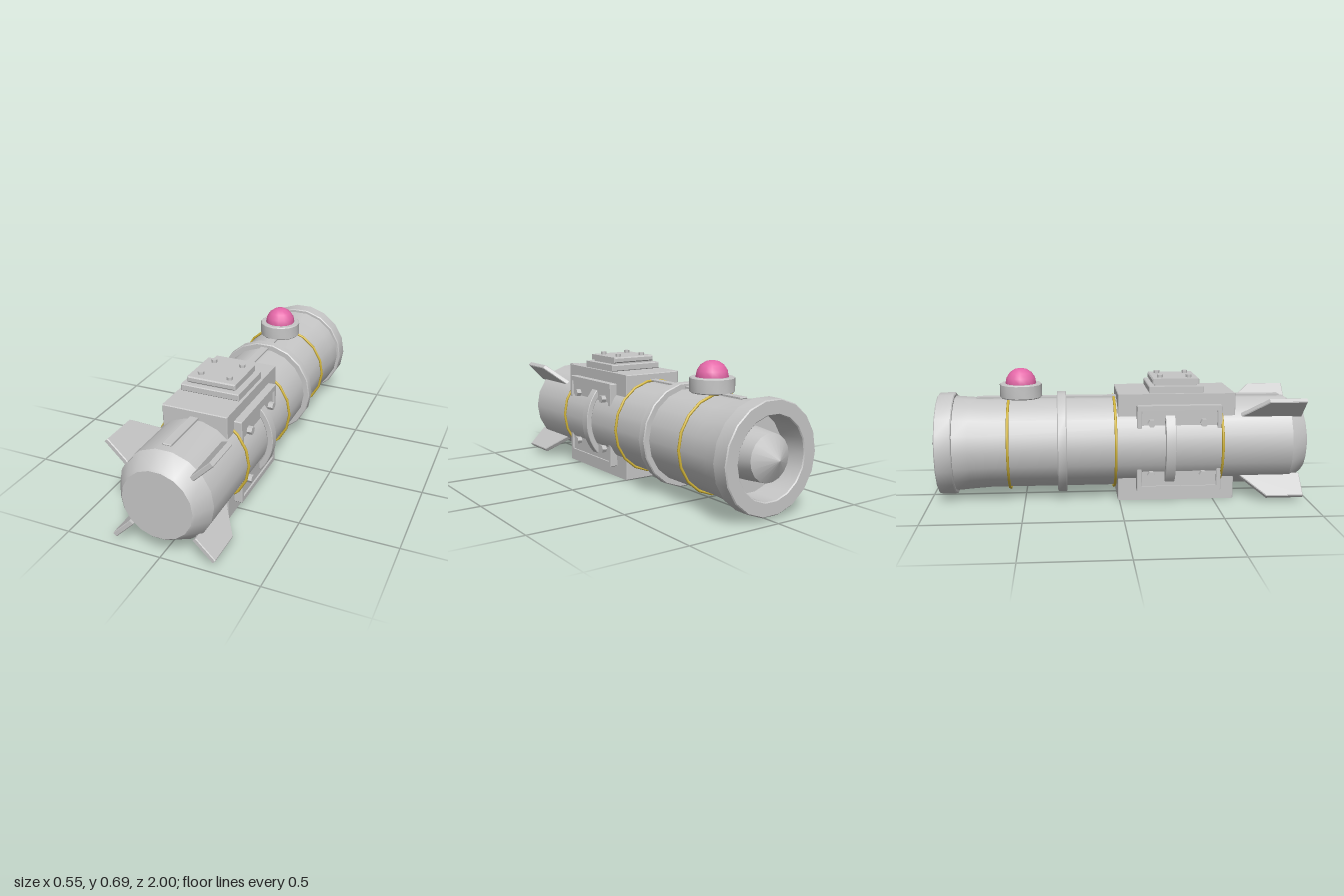
import * as THREE from 'three';
import { toCreasedNormals } from 'three/addons/utils/BufferGeometryUtils.js';

const AXIS_Y = 0.288;
const SIDES = 18;

function material(name, color) {
  const m = new THREE.MeshStandardMaterial({ color });
  m.name = name;
  return m;
}

export function createModel() {
  const metal = material('grey metal', 0xc6c6c6);
  const gold = material('gold band', 0xd2b53a);
  const pink = material('pink lens', 0xe468a8);
  const model = new THREE.Group();
  model.name = 'deviceModel';

  function add(name, geometry, mat, x = 0, y = 0, z = 0, parent = model) {
    const mesh = new THREE.Mesh(geometry, mat);
    mesh.name = name;
    mesh.position.set(x, y, z);
    parent.add(mesh);
    return mesh;
  }
  // Profile of [radius, z] from rear to front, turned around the long axis
  function turned(points) {
    const g = new THREE.LatheGeometry(points.map(([r, z]) => new THREE.Vector2(r, z)), SIDES, Math.PI / 2);
    g.rotateX(Math.PI / 2);
    return toCreasedNormals(g, 0.4);
  }
  // Box of the given size with small chamfers
  function block(w, h, d, c = 0.004) {
    const x = w / 2 - c, y = h / 2 - c;
    const shape = new THREE.Shape([[-x, -y], [x, -y], [x, y], [-x, y]].map(([a, b]) => new THREE.Vector2(a, b)));
    const g = new THREE.ExtrudeGeometry(shape, {
      depth: d - 2 * c, bevelEnabled: true, bevelSize: c, bevelThickness: c, bevelSegments: 1,
    });
    return g.translate(0, 0, c - d / 2);
  }
  // Hexagonal bolt head standing along y
  const hexBolt = (r, h) => toCreasedNormals(new THREE.CylinderGeometry(r, r, h, 6), 0.5);

  // Main tube with front cap, flared tail, flange and rear recess
  add('bodyTube', turned([
    [0, -0.8], [0.195, -0.8], [0.2, -0.945], [0.205, -0.95],
    [0.268, -0.95], [0.273, -0.945], [0.273, -0.867], [0.268, -0.862], [0.255, -0.862],
    [0.248, -0.78], [0.241, -0.68], [0.24, 0.91],
    [0.188, 0.99], [0.178, 1], [0, 1],
  ]), metal, 0, AXIS_Y);
  add('rearDome', turned([[0, -1], [0.116, -0.933], [0.13, -0.79]]), metal, 0, AXIS_Y);
  add('collarRing', turned([
    [0.23, -0.325], [0.268, -0.325], [0.273, -0.32], [0.273, -0.28], [0.268, -0.275], [0.23, -0.275],
  ]), metal, 0, AXIS_Y);

  // Gold bands
  for (const z of [0.537, -0.022, -0.58]) {
    add('goldBand', new THREE.TorusGeometry(0.2485, 0.007, 8, SIDES), gold, 0, AXIS_Y, z);
  }

  // Central housing and top hatch
  add('housing', block(0.34, 0.572, 0.618), metal, 0, 0.286, 0.301);
  add('hatchBase', block(0.31, 0.035, 0.288), metal, 0, 0.59, 0.3);
  add('hatchStep', block(0.24, 0.02, 0.225), metal, 0, 0.61, 0.3);
  add('hatchLid', block(0.257, 0.031, 0.25, 0.006), metal, 0, 0.63, 0.3);
  for (const sx of [-1, 1]) {
    for (const sz of [-1, 1]) {
      add('hatchBolt', hexBolt(0.016, 0.025), metal, sx * 0.077, 0.648, 0.297 + sz * 0.077);
    }
  }

  // Strip along the top
  add('topStrip', block(0.044, 0.009, 1.63, 0.003), metal, 0, 0.5355, 0.065);

  // Lens turret
  const ring = new THREE.LatheGeometry([
    [0, 0.535], [0.107, 0.535], [0.112, 0.54], [0.112, 0.606], [0.107, 0.611], [0.083, 0.611], [0.078, 0.595], [0, 0.595],
  ].map(([r, y]) => new THREE.Vector2(r, y)), 14);
  add('turretCollar', toCreasedNormals(ring, 0.55), metal, 0, 0, -0.515);
  add('turretLens', new THREE.SphereGeometry(0.083, 14, 4, 0, Math.PI * 2, 0, Math.PI / 2), pink, 0, 0.609, -0.515);

  // Four diagonal fins
  const finShape = new THREE.Shape([[0.64, 0.228], [0.966, 0.228], [0.966, 0.366], [0.77, 0.366], [0.64, 0.236]]
    .map(([z, r]) => new THREE.Vector2(z, r)));
  const finGeometry = new THREE.ExtrudeGeometry(finShape, {
    depth: 0.018, bevelEnabled: true, bevelSize: 0.004, bevelOffset: -0.004, bevelThickness: 0.004, bevelSegments: 1,
  });
  finGeometry.translate(0, 0, -0.009);
  finGeometry.rotateY(-Math.PI / 2);
  for (let i = 0; i < 4; i++) {
    add('fin', finGeometry, metal, 0, AXIS_Y).rotation.z = Math.PI / 4 + i * Math.PI / 2;
  }

  // Curved grab handle, an arc concentric with the tube
  const arc = new THREE.Shape();
  arc.absarc(0, 0, 0.27, -0.7, 0.7, false);
  arc.absarc(0, 0, 0.245, 0.7, -0.7, true);
  const handleGeometry = toCreasedNormals(new THREE.ExtrudeGeometry(arc, {
    depth: 0.047, bevelEnabled: true, bevelSize: 0.003, bevelThickness: 0.003, bevelSegments: 1, curveSegments: 8,
  }), 0.5);

  // Framed side panels, the same on both sides
  for (const [name, turn] of [['leftPanel', 0], ['rightPanel', Math.PI]]) {
    const side = new THREE.Group();
    side.name = name;
    side.position.set(0, AXIS_Y, 0.312);
    side.rotation.y = turn;
    model.add(side);
    const dz = turn ? 1 : -1;
    add('panelPlate', block(0.05, 0.43, 0.42), metal, 0.177, 0, 0, side);
    for (const s of [-1, 1]) {
      add('panelRail', block(0.05, 0.026, 0.445), metal, 0.186, s * 0.215, 0, side);
      add('panelPost', block(0.05, 0.456, 0.026), metal, 0.186, 0, s * 0.21, side);
      for (const t of [-1, 1]) {
        add('panelBolt', hexBolt(0.021, 0.03), metal, 0.213, s * 0.139, t * 0.137 + dz * 0.011, side)
          .rotation.z = -Math.PI / 2;
      }
    }
    add('grabHandle', handleGeometry, metal, 0, 0, dz * 0.05 - 0.0235, side);
  }

  return model;
}
